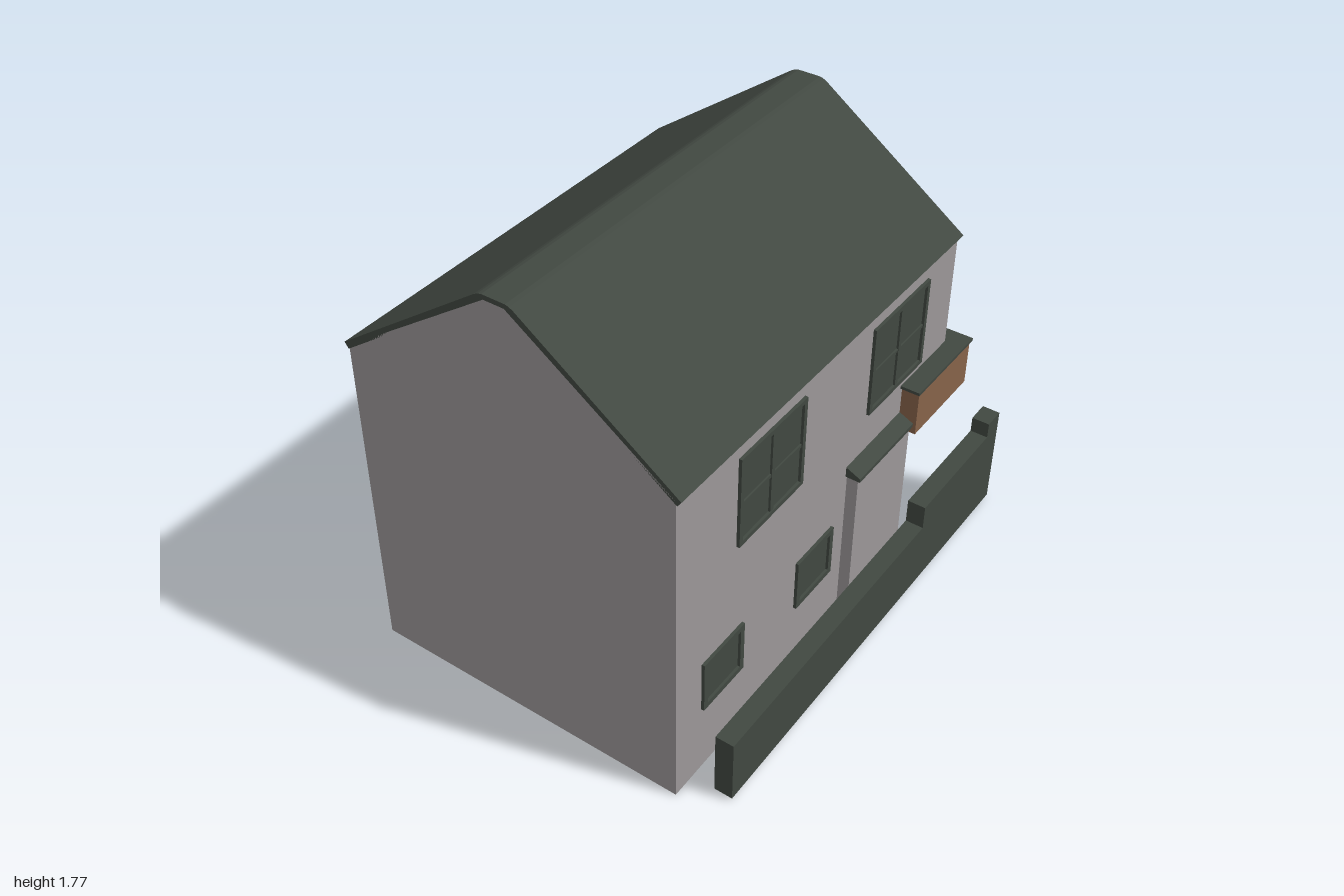
import * as THREE from 'three';

const mat = (name, color) => new THREE.MeshStandardMaterial({ name, color });

export function createModel() {
  const wall = mat('wall grey', 0x9c9899);
  const green = mat('dark green', 0x414841);
  const timber = mat('timber brown', 0x87634a);
  const doorBrown = mat('door brown', 0x5f3823);
  const soffit = mat('soffit grey', 0x4c4b4c);
  const house = new THREE.Group();
  house.name = 'house';

  // Box given by its minimum and maximum on each axis
  function box(name, m, x0, x1, y0, y1, z0, z1, parent = house) {
    const mesh = new THREE.Mesh(new THREE.BoxGeometry(x1 - x0, y1 - y0, z1 - z0), m);
    mesh.position.set((x0 + x1) / 2, (y0 + y1) / 2, (z0 + z1) / 2);
    mesh.name = name;
    parent.add(mesh);
    return mesh;
  }

  // Profile of [z, y] points extruded along x
  function prism(name, m, points, x0, x1) {
    const shape = new THREE.Shape(points.map(p => new THREE.Vector2(...p)));
    const geo = new THREE.ExtrudeGeometry(shape, { depth: x1 - x0, bevelEnabled: false });
    geo.rotateY(-Math.PI / 2).translate(x1, 0, 0);
    const mesh = new THREE.Mesh(geo, m);
    mesh.name = name;
    house.add(mesh);
  }

  // Window facing local +z, with bars at the given local positions
  function windowUnit(name, w, h, { border = 0.018, vertical = [], horizontal = [], louvre } = {}) {
    const g = new THREE.Group();
    g.name = name;
    const X = w / 2, Y = h / 2, d = 0.012;
    box('glass', green, -X + border, X - border, -Y + border, Y - border, -0.002, 0.002, g);
    for (const s of [-1, 1]) {
      const cx = s * (X - border / 2), cy = s * (Y - border / 2);
      box('frameSide', green, cx - border / 2, cx + border / 2, -Y, Y, -0.002, d, g);
      box('frameRail', green, -X + border, X - border, cy - border / 2, cy + border / 2, -0.002, d, g);
    }
    const barEnd = louvre ? louvre[0] : X - border;
    for (const x of vertical) box('mullion', green, x - 0.009, x + 0.009, -Y + border, Y - border, 0, d - 0.002, g);
    for (const y of horizontal) box('transom', green, -X + border, barEnd, y - 0.006, y + 0.006, 0, d - 0.004, g);
    if (louvre) {
      const n = Math.round((h - 2 * border) / 0.03);
      for (let i = 0; i < n; i++) {
        const y = -Y + border + (i + 0.5) * (h - 2 * border) / n;
        const slat = box('louvreSlat', green, louvre[0], louvre[1], y - 0.012, y + 0.012, 0.003, 0.006, g);
        slat.rotation.x = -0.25;
      }
    }
    house.add(g);
    return g;
  }

  // Walls
  box('lowerStorey', wall, -1, 0.41, 0, 0.67, -0.59, 0.71);
  prism('upperStorey', wall, [[0.71, 0.67], [0.71, 1.325], [0.1, 1.752], [0.02, 1.752], [-0.59, 1.325], [-0.59, 0.67]], -1, 0.733);

  // Roof with a softened ridge
  prism('roof', green, [
    [0.73, 1.33], [0.135, 1.758], [0.12, 1.766], [0.105, 1.77], [0.015, 1.77], [0, 1.766], [-0.015, 1.758],
    [-0.61, 1.33], [-0.595, 1.308], [-0.02, 1.722], [0.02, 1.745], [0.06, 1.75], [0.1, 1.745], [0.14, 1.722], [0.715, 1.308],
  ], -1, 0.735);

  // Front and back windows
  for (const side of [1, -1]) {
    const z = side > 0 ? 0.71 : -0.59;
    const place = (g, x, y) => {
      g.position.set(x, y, z);
      if (side < 0) g.rotation.y = Math.PI;
    };
    for (const x of [-0.48, 0.335])
      place(windowUnit('upperWindow', 0.38, 0.365, { vertical: [0], horizontal: [-0.01] }), x, 1.073);
    for (const x of [-0.738, -0.167])
      place(windowUnit('lowerWindow', 0.235, 0.215, { border: 0.022 }), x, 0.402);
  }

  // Large windows on the gable end and on the bay below it
  const gable = windowUnit('gableWindow', 0.805, 0.395,
    { vertical: [0.135, -0.13], horizontal: [0.008], louvre: [0.145, 0.385] });
  gable.position.set(0.733, 1.073, -0.1375);
  gable.rotation.y = Math.PI / 2;
  box('bay', green, 0.405, 0.615, 0, 0.66, -0.59, 0.3);
  const bayWindow = windowUnit('bayWindow', 0.83, 0.63,
    { vertical: [0.155, -0.11], horizontal: [0.22, -0.08], louvre: [0.165, 0.395] });
  bayWindow.position.set(0.615, 0.335, -0.175);
  bayWindow.rotation.y = Math.PI / 2;

  // Timber canopy and its flat cap
  box('canopy', [timber, timber, timber, soffit, timber, timber], 0.41, 0.8, 0.655, 0.846, -0.66, 0.78);
  box('canopyCap', green, 0.397, 0.81, 0.844, 0.856, -0.675, 0.787);

  // Entrance: surround, door, panel above and step
  box('doorSurround', green, 0.405, 0.418, 0, 0.656, 0.3, 0.71);
  box('door', doorBrown, 0.415, 0.424, 0.055, 0.52, 0.33, 0.65);
  box('panelAboveDoor', green, 0.415, 0.424, 0.53, 0.61, 0.345, 0.635);
  box('doorStep', green, 0.405, 0.48, 0, 0.055, 0.3, 0.71);
  box('stepPanel', green, 0.478, 0.485, 0.005, 0.028, 0.36, 0.655);

  // Shallow porch with a sloping cap
  box('porch', wall, 0.04, 0.41, 0, 0.686, 0.7, 0.755);
  prism('porchCap', green, [[0.768, 0.685], [0.768, 0.7], [0.705, 0.73], [0.705, 0.685]], 0.03, 0.41);

  // Stepped garden wall
  const steps = [[-0.91, 0.365, 0.275], [0.365, 0.87, 0.375], [0.87, 0.96, 0.44]];
  for (const [x0, x1, top] of steps) box('gardenWall', green, x0, x1, 0.01, top, 0.805, 0.877);

  // Side fence with L-shaped end posts
  box('fencePanel', wall, 0.922, 0.958, 0.07, 0.375, -0.82, 0.235);
  box('fenceBase', green, 0.907, 0.973, 0.01, 0.07, -0.82, 0.235);
  box('fenceCap', green, 0.907, 0.973, 0.373, 0.388, -0.82, 0.235);
  for (const [s, z] of [[1, 0.23], [-1, -0.82]]) {
    const span = (a, b) => [z + s * a, z + s * b].sort((p, q) => p - q);
    box('fencePost', green, 0.905, 1, 0.01, 0.405, ...span(0, 0.032));
    box('fencePostEnd', green, 0.905, 0.94, 0.01, 0.405, ...span(0.03, 0.06));
  }
  return house;
}
